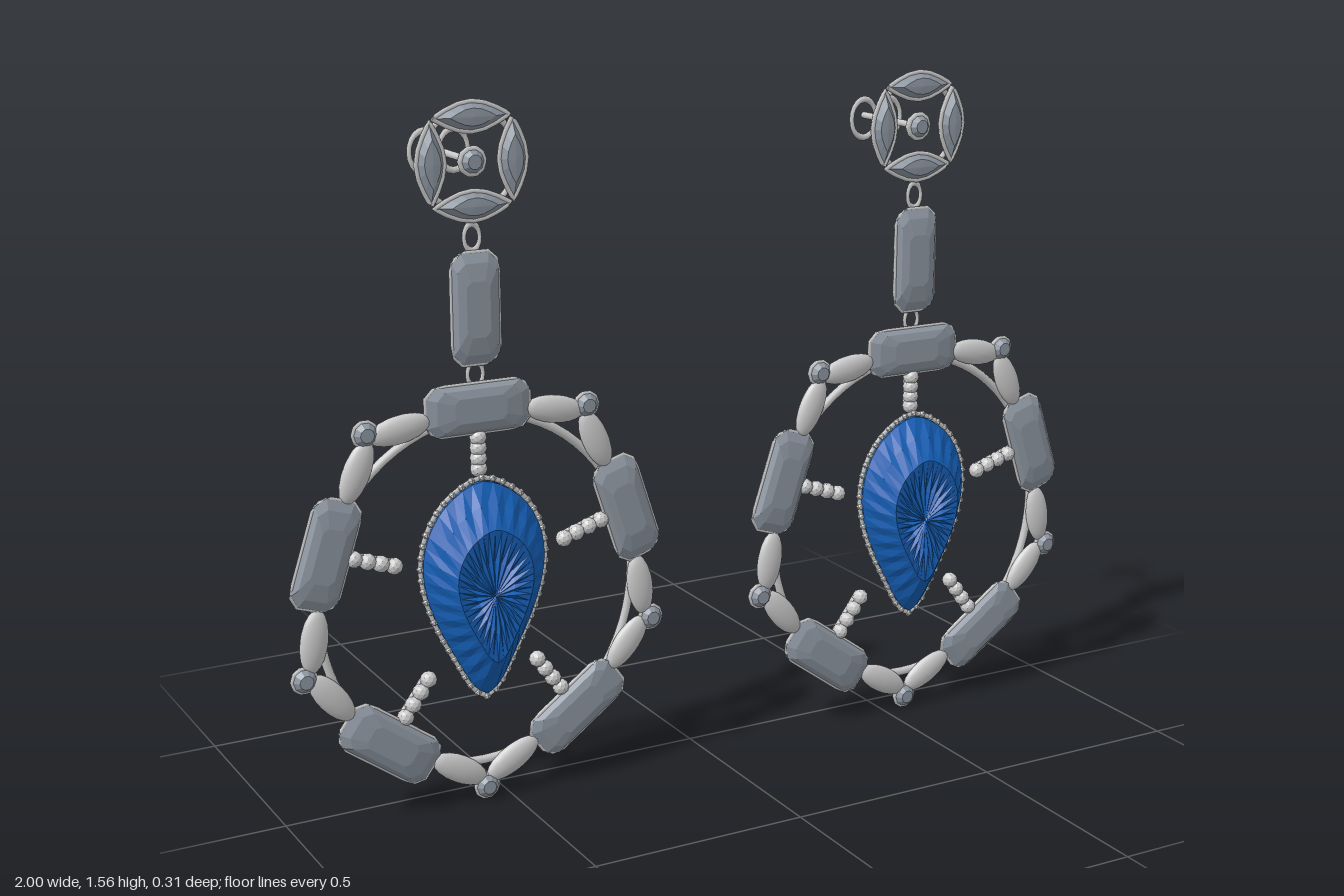
import * as THREE from 'three';

const metal = new THREE.MeshStandardMaterial({ color: 0xcccccc });
const metalFlat = new THREE.MeshStandardMaterial({ color: 0xcccccc, flatShading: true });
const clear = new THREE.MeshStandardMaterial({ color: 0x8f98a3, flatShading: true });
const blue = new THREE.MeshStandardMaterial({ color: 0x1560b8, flatShading: true });

const V2 = (x, y) => new THREE.Vector2(x, y);

// Counter-clockwise outlines
const cutRect = (w, h, c) => [
  V2(w, -h + c), V2(w, h - c), V2(w - c, h), V2(-w + c, h),
  V2(-w, h - c), V2(-w, -h + c), V2(-w + c, -h), V2(w - c, -h)];
const polygon = (r, n) => Array.from({ length: n }, (_, i) =>
  V2(r * Math.cos(i / n * Math.PI * 2), r * Math.sin(i / n * Math.PI * 2)));
function marquise(a, b, n = 6) {
  const pts = [];
  for (let i = 0; i < n; i++) pts.push(V2(a - 2 * a * i / n, b * Math.sin(Math.PI * i / n)));
  return pts.concat(pts.map(p => V2(-p.x, -p.y)));
}
function pear() {
  const right = [[0.03, -0.228], [0.075, -0.15], [0.115, -0.07], [0.14, 0.005], [0.147, 0.075], [0.13, 0.145], [0.085, 0.208]];
  const left = right.map(([x, y]) => [-x, y]).reverse();
  const pts = [[0, -0.25], ...right, [0, 0.25], ...left].map(([x, y]) => new THREE.Vector3(x, y, 0));
  return new THREE.CatmullRomCurve3(pts, true).getSpacedPoints(48).slice(0, 48).map(p => V2(p.x, p.y));
}

// Faceted stone: outline scaled through levels [scale, z, pleat] from back to front
function stone(outline, levels, backZ, frontZ) {
  const n = outline.length, pos = [];
  const at = (l, i) => {
    const [s, z, pleat = 0] = levels[l], p = outline[i % n];
    return [p.x * s, p.y * s, z + (i % 2 ? pleat : 0)];
  };
  const last = levels.length - 1;
  for (let i = 0; i < n; i++) {
    pos.push(0, 0, backZ, ...at(0, i + 1), ...at(0, i));
    for (let l = 0; l < last; l++) {
      pos.push(...at(l, i), ...at(l, i + 1), ...at(l + 1, i + 1));
      pos.push(...at(l, i), ...at(l + 1, i + 1), ...at(l + 1, i));
    }
    pos.push(0, 0, frontZ, ...at(last, i), ...at(last, i + 1));
  }
  const g = new THREE.BufferGeometry();
  g.setAttribute('position', new THREE.Float32BufferAttribute(pos, 3));
  g.computeVertexNormals();
  return g;
}

// Thin wire following an outline
function rim(outline, r, z) {
  const path = new THREE.CurvePath();
  outline.forEach((p, i) => {
    const q = outline[(i + 1) % outline.length];
    path.add(new THREE.LineCurve3(new THREE.Vector3(p.x, p.y, z), new THREE.Vector3(q.x, q.y, z)));
  });
  return new THREE.TubeGeometry(path, outline.length * 3, r, 5, true);
}

function add(parent, name, geo, mat, x = 0, y = 0, z = 0, rot = 0) {
  const m = new THREE.Mesh(geo, mat);
  m.name = name;
  m.position.set(x, y, z);
  m.rotation.z = rot;
  parent.add(m);
  return m;
}

function setStone(parent, name, outline, geo, wire, x, y, rot = 0) {
  const g = new THREE.Group();
  g.name = name;
  g.position.set(x, y, 0.075);
  g.rotation.z = rot;
  add(g, 'stone', geo, clear);
  add(g, 'bezel', rim(outline, wire, 0), metal);
  parent.add(g);
}

function earring() {
  const e = new THREE.Group();

  // Shared cuts
  const rect = cutRect(0.12, 0.054, 0.022);
  const rectGeo = stone(rect, [[0.75, -0.018], [1, -0.004], [1, 0.004], [0.82, 0.014], [0.5, 0.02]], -0.022, 0.02);
  const leaf = marquise(0.086, 0.031);
  const leafGeo = stone(leaf, [[0.6, -0.014], [1, 0], [0.6, 0.016]], -0.016, 0.018);
  const round = polygon(0.026, 10);
  const roundGeo = stone(round, [[0.6, -0.016], [1, -0.006], [1, 0.006], [0.6, 0.018]], -0.018, 0.018);

  // Stud rosette
  const Y = 1.427;
  for (let i = 0; i < 4; i++) {
    const a = i * Math.PI / 2;
    setStone(e, 'rosettePetal', leaf, leafGeo, 0.006, 0.093 * Math.cos(a), Y + 0.093 * Math.sin(a), a + Math.PI / 2);
  }
  setStone(e, 'rosetteCentre', round, roundGeo, 0.008, 0, Y);
  add(e, 'rosetteRing', new THREE.TorusGeometry(0.108, 0.007, 6, 40), metal, 0, Y, 0.064);

  // Post with two-loop clutch
  add(e, 'post', new THREE.CylinderGeometry(0.008, 0.008, 0.215, 10), metal, 0, Y, -0.045).rotation.x = Math.PI / 2;
  for (const s of [-1, 1])
    add(e, 'clutchLoop', new THREE.TorusGeometry(0.034, 0.006, 6, 20), metal, s * 0.034, Y, -0.1).scale.y = 1.32;

  // Drop: links and upright stone
  add(e, 'upperLink', new THREE.TorusGeometry(0.018, 0.005, 6, 16), metal, 0, 1.266, 0.066).scale.y = 1.6;
  setStone(e, 'dropStone', rect, rectGeo, 0.005, 0, 1.116, Math.PI / 2);
  add(e, 'lowerLink', new THREE.TorusGeometry(0.018, 0.005, 6, 16), metal, 0, 0.972, 0.066).scale.y = 1.5;

  // Hoop: five long stones alternating with five corner stones
  const cy = 0.485;
  const longs = [[0, 0.9], [-0.353, 0.626], [-0.225, 0.176], [0.225, 0.176], [0.353, 0.626]];
  const corners = [[-0.257, 0.875], [-0.412, 0.358], [0, 0.032], [0.412, 0.358], [0.257, 0.875]];
  const hoop = add(e, 'hoop', new THREE.TorusGeometry(0.37, 0.01, 8, 72), metal, 0, cy, 0.062);
  hoop.scale.y = 1.07;

  const leafBead = new THREE.SphereGeometry(1, 16, 10);
  longs.forEach(([x, y], i) => {
    const tilt = i * Math.PI * 0.4;
    const tx = Math.cos(tilt), ty = Math.sin(tilt);
    setStone(e, 'hoopStone', rect, rectGeo, 0.005, x, y, tilt);

    // Metal leaves from each stone end to the neighbouring corner
    for (const s of [-1, 1]) {
      const [gx, gy] = corners[s < 0 ? i : (i + 4) % 5];
      const ex = x + s * tx * 0.115, ey = y + s * ty * 0.115;
      const mx = (gx + ex) / 2, my = (gy + ey) / 2;
      const pull = 0.014 / Math.hypot(mx, my - cy);
      const b = add(e, 'leaf', leafBead, metal, mx * (1 - pull), my - (my - cy) * pull, 0.075, Math.atan2(gy - ey, gx - ex));
      b.scale.set(0.073, 0.031, 0.017);
    }

    // Beaded spoke pointing inward
    const spoke = new THREE.Group();
    spoke.name = 'spoke';
    spoke.position.set(x, y, 0.072);
    spoke.rotation.z = tilt;
    const len = i ? 0.175 : 0.15;
    add(spoke, 'spokeBar', new THREE.BoxGeometry(0.026, len - 0.03, 0.014), metal, 0, -len / 2 - 0.01, -0.006);
    for (let k = 0; k < 4; k++)
      add(spoke, 'spokeBead', new THREE.IcosahedronGeometry(0.019, 1), metalFlat, 0, -0.066 - k * (len - 0.08) / 3, 0);
    e.add(spoke);
  });
  corners.forEach(([x, y]) => setStone(e, 'cornerStone', round, roundGeo, 0.006, x, y));

  // Pleated blue pear stone with beaded rim
  const outline = pear();
  const drop = new THREE.Group();
  drop.name = 'pearDrop';
  drop.position.set(0, 0.498, 0);
  add(drop, 'pearStone', stone(outline,
    [[0.5, 0.068, 0.008], [0.97, 0.083], [0.97, 0.092], [0.8, 0.118, 0.007], [0.6, 0.154], [0.3, 0.146, 0.008]],
    0.062, 0.148), blue);
  add(drop, 'pearRim', rim(outline, 0.006, 0.085), metal);
  outline.forEach(p => add(drop, 'rimBead', new THREE.IcosahedronGeometry(0.009, 0), metalFlat, p.x, p.y, 0.087));
  e.add(drop);
  return e;
}

export function createModel() {
  const model = new THREE.Group();
  model.name = 'earringPair';
  for (const s of [-1, 1]) {
    const e = earring();
    e.name = s < 0 ? 'rightEarring' : 'leftEarring';
    e.position.x = s * 0.557;
    model.add(e);
  }
  return model;
}
